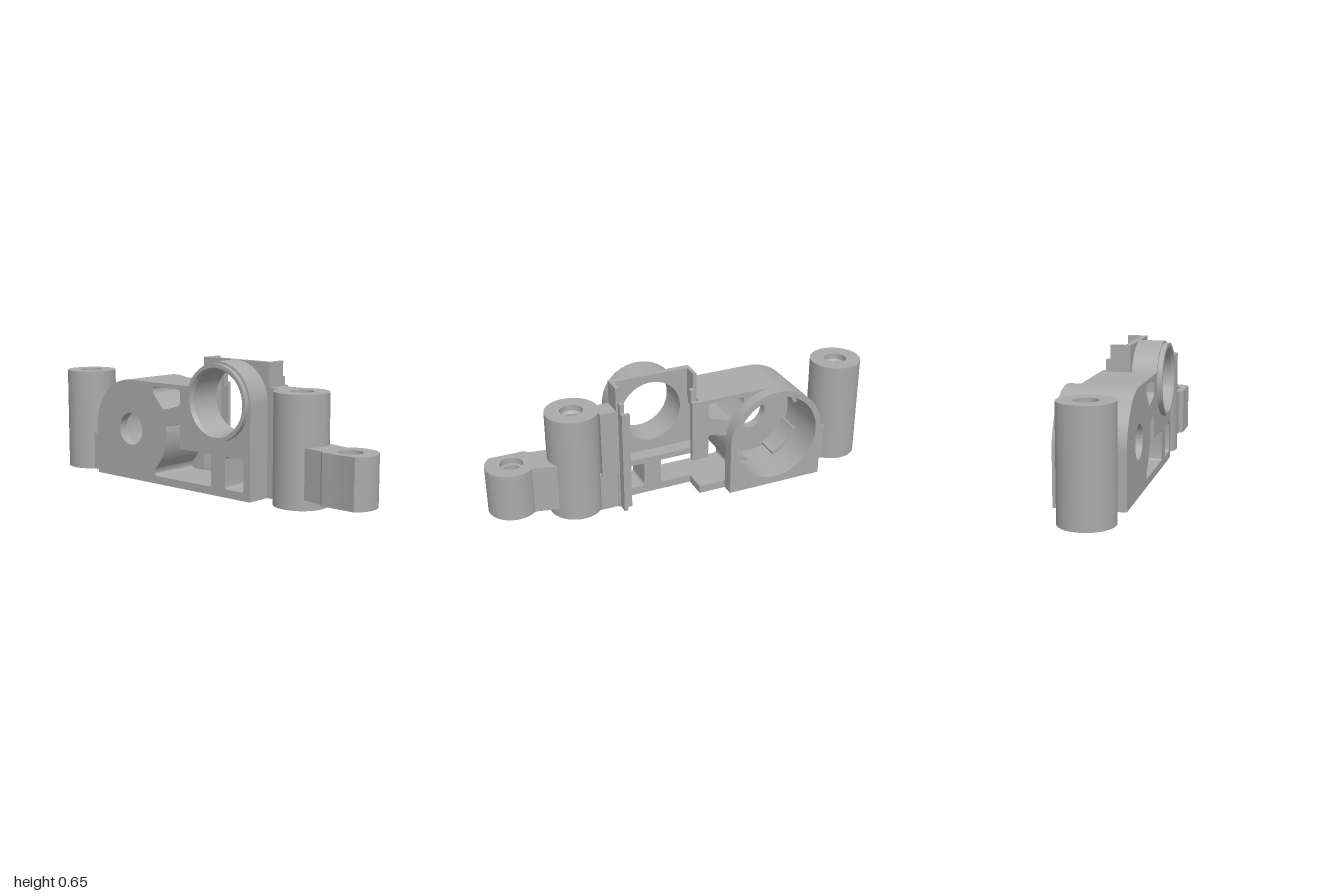
import * as THREE from 'three';
import { toCreasedNormals } from 'three/addons/utils/BufferGeometryUtils.js';

export function createModel() {
  const group = new THREE.Group();
  const grey = new THREE.MeshStandardMaterial({ color: 0xaaaaaa });
  grey.name = 'plain grey';
  const add = (name, geo) => {
    const mesh = new THREE.Mesh(toCreasedNormals(geo, 0.5), grey);
    mesh.name = name;
    group.add(mesh);
    return mesh;
  };
  // Box given by its limits on each axis
  const box = (name, x0, x1, y0, y1, z0, z1) =>
    add(name, new THREE.BoxGeometry(x1 - x0, y1 - y0, z1 - z0)
      .translate((x0 + x1) / 2, (y0 + y1) / 2, (z0 + z1) / 2));
  const extrude = (shape, z0, z1) => new THREE.ExtrudeGeometry(shape, { depth: z1 - z0, bevelEnabled: false, curveSegments: 40 })
    .translate(0, 0, z0);
  const circle = (x, y, r) => new THREE.Path().absarc(x, y, r, 0, Math.PI * 2, false);
  // Polygon opening with rounded corners
  const roundedHole = (pts, r = 0.018) => {
    const path = new THREE.Path();
    const v = pts.map(p => new THREE.Vector2(...p));
    v.forEach((p, i) => {
      const prev = v[(i + v.length - 1) % v.length], next = v[(i + 1) % v.length];
      const a = p.clone().add(prev.clone().sub(p).setLength(r));
      const b = p.clone().add(next.clone().sub(p).setLength(r));
      if (i === 0) path.moveTo(a.x, a.y); else path.lineTo(a.x, a.y);
      path.quadraticCurveTo(p.x, p.y, b.x, b.y);
    });
    path.closePath();
    return path;
  };

  // Shared centres: motor barrel and bearing ring
  const MX = -0.425, MY = 0.262, MR = 0.255;
  const RX = 0.18, RY = 0.455, RR = 0.195, RIN = 0.155;

  // Openings of the frame
  const barrelArc = (path, clockwise) => clockwise
    ? path.absarc(MX, MY, MR, 0.15, -0.8, true)
    : path.absarc(MX, MY, MR, -0.8, 0.15, false);
  const largeWindow = () => {
    const p = new THREE.Path();
    p.moveTo(0.115, 0.04);
    p.quadraticCurveTo(0.13, 0.04, 0.13, 0.055);
    p.lineTo(0.13, 0.185);
    p.quadraticCurveTo(0.13, 0.2, 0.115, 0.2);
    p.lineTo(-0.075, 0.2);
    p.lineTo(-0.075, 0.305);
    p.quadraticCurveTo(-0.075, 0.325, -0.095, 0.32);
    p.lineTo(-0.155, 0.305);
    barrelArc(p, true);
    p.quadraticCurveTo(-0.265, 0.04, -0.235, 0.04);
    p.closePath();
    return p;
  };
  const smallWindow = () => roundedHole([[0.22, 0.04], [0.335, 0.04], [0.335, 0.2], [0.22, 0.2]]);
  const topWindow = () => roundedHole([[-0.265, 0.495], [-0.265, 0.465], [-0.19, 0.383], [-0.075, 0.415], [-0.075, 0.495]]);

  // Front frame with the round ring housing in its outline
  const frontShape = boreRadius => {
    const s = new THREE.Shape();
    s.moveTo(-0.68, 0);
    s.lineTo(0.375, 0);
    s.absarc(RX, RY, RR, 0, Math.PI - 0.32, false);
    s.lineTo(MX, 0.517);
    s.absarc(MX, MY, MR, Math.PI / 2, Math.PI, false);
    s.closePath();
    s.holes.push(circle(MX, MY, boreRadius), circle(RX, RY, RIN), largeWindow(), smallWindow(), topWindow());
    return s;
  };
  add('frontWall', extrude(frontShape(0.083), 0.11, 0.157));
  add('frameBody', extrude(frontShape(0.225), 0.03, 0.11));

  // Square plate behind the ring
  const plate = new THREE.Shape();
  plate.moveTo(-0.68, 0);
  plate.lineTo(0.385, 0);
  plate.lineTo(0.385, 0.65);
  plate.lineTo(-0.03, 0.65);
  plate.lineTo(-0.03, 0.517);
  plate.lineTo(MX, 0.517);
  plate.absarc(MX, MY, MR, Math.PI / 2, Math.PI, false);
  plate.closePath();
  plate.holes.push(circle(MX, MY, 0.225), circle(RX, RY, RIN), largeWindow(), smallWindow(), topWindow());
  add('ringPlate', extrude(plate, 0, 0.03));

  // Rear body, open towards the ring section
  const rear = new THREE.Shape();
  rear.moveTo(-0.68, 0);
  rear.lineTo(-0.03, 0);
  rear.lineTo(-0.03, 0.04);
  rear.lineTo(-0.235, 0.04);
  rear.quadraticCurveTo(-0.265, 0.04, MX + MR * Math.cos(-0.8), MY + MR * Math.sin(-0.8));
  barrelArc(rear, false);
  rear.lineTo(-0.095, 0.32);
  rear.quadraticCurveTo(-0.075, 0.325, -0.075, 0.305);
  rear.lineTo(-0.075, 0.2);
  rear.lineTo(-0.03, 0.2);
  rear.lineTo(-0.03, 0.517);
  rear.lineTo(MX, 0.517);
  rear.absarc(MX, MY, MR, Math.PI / 2, Math.PI, false);
  rear.closePath();
  rear.holes.push(circle(MX, MY, 0.225), topWindow());
  add('rearBody', extrude(rear, -0.12, 0));

  // Motor barrel rim: square below, round above
  const rim = new THREE.Shape();
  rim.moveTo(-0.68, 0);
  rim.lineTo(-0.17, 0);
  rim.absarc(MX, MY, MR, 0, Math.PI, false);
  rim.closePath();
  rim.holes.push(circle(MX, MY, 0.225));
  add('barrelRim', extrude(rim, -0.182, -0.12));

  // Locating pads inside the barrel
  for (let i = 0; i < 4; i++) {
    const a = i * Math.PI / 2 + 0.35, b = a + 0.85;
    const pad = new THREE.Shape();
    pad.absarc(MX, MY, 0.228, a, b, false);
    pad.absarc(MX, MY, 0.205, b, a, true);
    pad.closePath();
    add('barrelPad', extrude(pad, -0.01, 0.11));
  }

  // Lathe helper for closed profiles
  const ringLathe = pts => new THREE.LatheGeometry([...pts, pts[0]].map(p => new THREE.Vector2(...p)), 64);

  // Chamfered lip at the front of the ring
  add('ringLip', ringLathe([[0.185, 0.155], [0.185, 0.182], [0.167, 0.182], [RIN, 0.165], [RIN, 0.155]])
    .rotateX(Math.PI / 2).translate(RX, RY, 0));

  // Fins, shelf and clips behind the plate
  box('rightFin', -0.03, -0.012, 0.5, 0.65, -0.072, 0.002);
  box('leftFin', 0.365, 0.385, 0, 0.65, -0.072, 0.002);
  box('shelf', -0.03, 0.37, 0.215, 0.245, -0.072, 0.002);
  box('rightClip', -0.03, 0.012, 0.2, 0.517, -0.12, -0.1);
  box('rightClipTip', -0.012, 0.012, 0.5, 0.575, -0.1, -0.07);
  box('leftClip', 0.355, 0.375, 0, 0.53, -0.122, -0.07);
  box('leftClipTip', 0.355, 0.375, 0.53, 0.575, -0.1, -0.07);
  box('leftClipLip', 0.335, 0.36, 0.02, 0.53, -0.122, -0.105);

  // Tall screw posts with countersunk through holes
  for (const [name, x] of [['rightPost', -0.87], ['leftPost', 0.573]]) {
    add(name, ringLathe([[0.13, 0], [0.13, 0.53], [0.056, 0.53], [0.056, 0.5], [0.042, 0.49],
      [0.042, 0.04], [0.056, 0.03], [0.056, 0]]).translate(x, 0, 0.027));
  }
  box('rightBridge', -0.775, -0.675, 0, 0.2, -0.062, 0.106);
  box('leftBridge', 0.37, 0.475, 0, 0.2, -0.065, 0.03);
  box('leftUpperBridge', 0.38, 0.465, 0.19, 0.53, -0.072, 0.03);

  // Low side lug, drawn in plan with a flat front
  const lugLayer = (holeRadius, y0, y1) => {
    const s = new THREE.Shape();
    s.moveTo(0.66, -0.12);
    s.lineTo(0.765, -0.137);
    s.lineTo(0.785, -0.157);
    s.lineTo(0.955, -0.157);
    s.absarc(0.88, -0.065, 0.12, -0.88, 2.35, false);
    s.lineTo(0.69, 0.045);
    s.lineTo(0.66, 0.045);
    s.closePath();
    s.holes.push(circle(0.872, -0.065, holeRadius));
    add('sideLug', extrude(s, y0, y1).rotateX(-Math.PI / 2));
  };
  lugLayer(0.056, 0.05, 0.08);
  lugLayer(0.04, 0.08, 0.26);
  lugLayer(0.056, 0.26, 0.29);

  return group;
}
